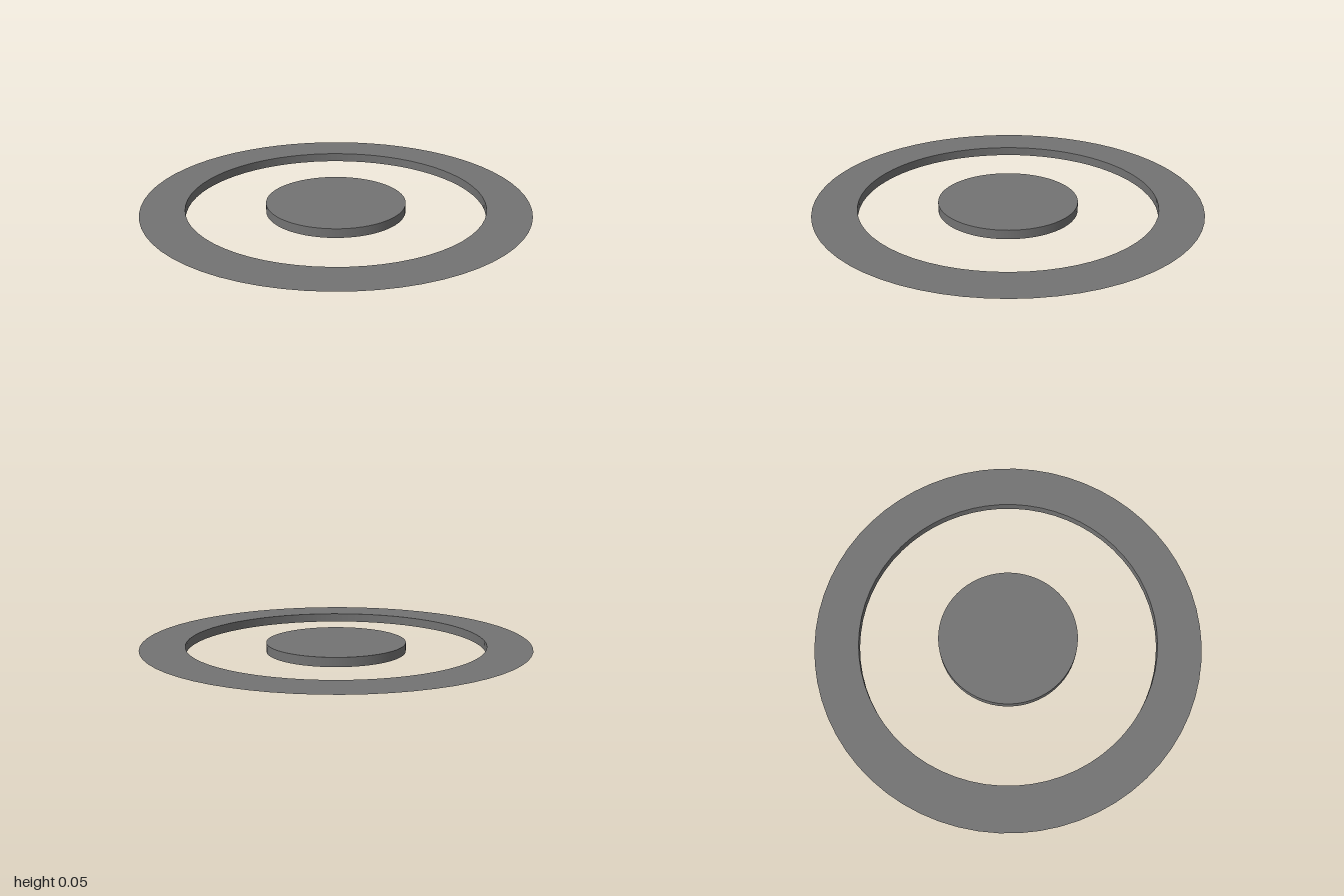
import * as THREE from 'three';

const HEIGHT = 0.048;
const SEGMENTS = 64;
const material = new THREE.MeshStandardMaterial({ color: 0x737373, side: THREE.DoubleSide });

function part(name, geometry) {
  const mesh = new THREE.Mesh(geometry, material);
  mesh.name = name;
  return mesh;
}

// Lays a flat shape face up at the top level
function layFlat(geometry) {
  return geometry.rotateX(-Math.PI / 2).translate(0, HEIGHT, 0);
}

// Open wall from the top level down to the ground
function wall(radius) {
  return new THREE.CylinderGeometry(radius, radius, HEIGHT, SEGMENTS, 1, true)
    .translate(0, HEIGHT / 2, 0);
}

export function createModel() {
  const model = new THREE.Group();
  model.name = 'ringAndDisc';

  // Outer ring: top surface with a wall only around its hole
  const ring = new THREE.Group();
  ring.name = 'outerRing';
  ring.add(
    part('ringTop', layFlat(new THREE.RingGeometry(0.773, 1, SEGMENTS))),
    part('ringInnerWall', wall(0.773)),
  );

  // Centre disc: top surface with a wall around its edge, open below
  const disc = new THREE.Group();
  disc.name = 'centreDisc';
  disc.add(
    part('discTop', layFlat(new THREE.CircleGeometry(0.362, SEGMENTS))),
    part('discWall', wall(0.362)),
  );

  model.add(ring, disc);
  return model;
}
